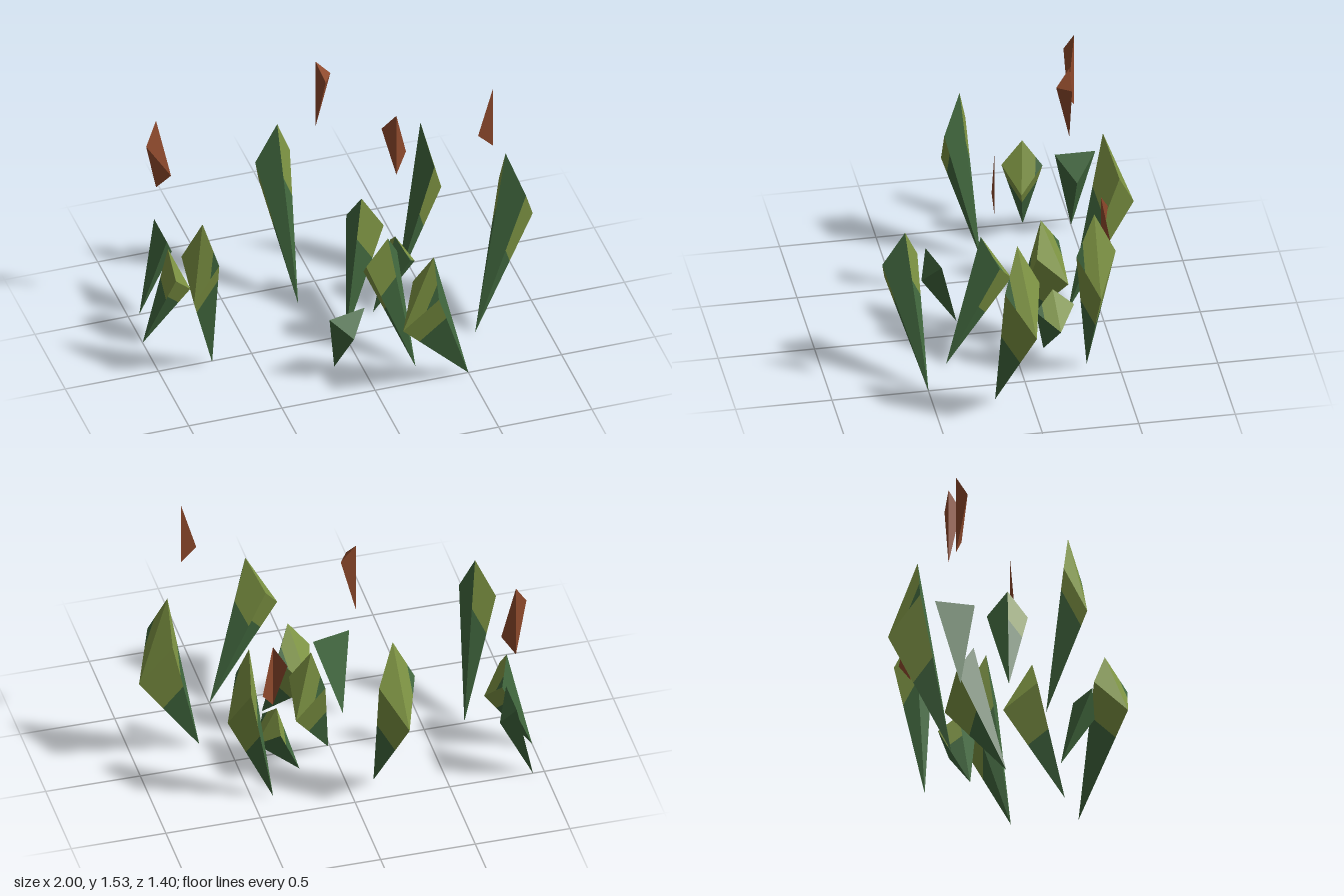
import * as THREE from 'three';

const HALF_WIDTH = 0.105; // every blade has the same shoulder width
const SHARD_RADIUS = 0.08;

function material(name, color, side = THREE.FrontSide) {
  const m = new THREE.MeshStandardMaterial({ color, side });
  m.name = name;
  return m;
}

// Flat-faced mesh from loose triangles; faces turn away from the centre if one is given
function facets(name, tris, mat, centre) {
  const points = [];
  for (const [a, b, c] of tris) {
    const n = b.clone().sub(a).cross(c.clone().sub(a));
    const inward = centre && n.dot(a.clone().sub(centre)) < 0;
    points.push(...(inward ? [a, c, b] : [a, b, c]));
  }
  const geo = new THREE.BufferGeometry().setFromPoints(points);
  geo.computeVertexNormals();
  const mesh = new THREE.Mesh(geo, mat);
  mesh.name = name;
  return mesh;
}

export function createModel() {
  const model = new THREE.Group();
  const green = material('leafGreen', 0x42693f);
  const olive = material('oliveTip', 0x7e9443);
  const rust = material('rustRed', 0x8f4a2c, THREE.DoubleSide);

  // Blade leaning along its own +x: pointed foot, two shoulders, a lower outer corner, apex.
  // greenSide picks the shoulder that stays green; low is the green share of the underside.
  function blade({ name, x, z, yaw, lean, height, greenSide = 1, low = 0.6, stub = false }) {
    const foot = new THREE.Vector3();
    const shoulder = (s) => new THREE.Vector3(0.65 * lean, 0.775 * height, s * HALF_WIDTH);
    const warm = shoulder(-greenSide);
    const cool = shoulder(greenSide);
    const corner = new THREE.Vector3(lean, 0.55 * height, 0);
    const apex = new THREE.Vector3(0.53 * lean, height, 0);
    const greens = [];
    const olives = [];

    // A facet is green from corner a up to the fraction t, olive beyond
    const facet = (a, b, c, t) => {
      const ab = a.clone().lerp(b, t);
      const ac = a.clone().lerp(c, t);
      if (t > 0) greens.push([a, ab, ac]);
      if (t < 1) olives.push([ab, b, c], [ab, c, ac]);
    };
    facet(foot, warm, corner, low);
    facet(foot, corner, cool, low);
    if (stub) {
      facet(foot, warm, cool, 1);
      facet(warm, corner, cool, 1);
    } else {
      facet(foot, warm, apex, 0.7);
      facet(foot, cool, apex, 1);
      facet(warm, corner, apex, 0);
      facet(cool, corner, apex, 0.35);
    }

    const centre = foot.clone().add(warm).add(cool).add(corner).divideScalar(4);
    const group = new THREE.Group();
    group.name = name;
    group.position.set(x, 0, z);
    group.rotation.y = yaw;
    group.add(facets('bladeBody', greens, green, centre));
    if (olives.length) group.add(facets('bladeTip', olives, olive, centre));
    model.add(group);
  }

  // Clustered blades
  blade({ name: 'farLeftBlade', x: 0.64, z: 0.18, yaw: 0.4, lean: 0.39, height: 1.03 });
  blade({ name: 'backLeftBlade', x: 0.39, z: -0.34, yaw: 0.12, lean: 0.25, height: 0.98 });
  blade({ name: 'backBlade', x: -0.14, z: -0.34, yaw: 1.83, lean: 0.37, height: 1.01, greenSide: -1 });
  blade({ name: 'frontBlade', x: 0.5, z: 0.5, yaw: -2.77, lean: 0.43, height: 0.83, greenSide: -1, low: 0.75 });
  blade({ name: 'rightBlade', x: -0.715, z: 0.01, yaw: -2.29, lean: 0.235, height: 0.95, greenSide: -1, low: 0.85 });
  blade({ name: 'smallRightBlade', x: -1, z: -0.26, yaw: -0.2, lean: 0.245, height: 0.58, greenSide: -1, low: 0.75 });
  blade({ name: 'centreBlade', x: 0.01, z: -0.01, yaw: 0.825, lean: 0.355, height: 0.73, greenSide: -1 });
  blade({ name: 'innerBlade', x: 0.26, z: 0.365, yaw: 1.98, lean: 0.4, height: 0.69 });
  blade({ name: 'shortBlade', x: 0.2, z: -0.15, yaw: 0.2, lean: 0.245, height: 0.43, low: 1 });

  // Stubs without an apex
  blade({ name: 'frontStub', x: -0.135, z: 0.24, yaw: -1.34, lean: 0.195, height: 0.53, low: 1, stub: true });
  blade({ name: 'backStub', x: -0.94, z: -0.5, yaw: 0, lean: 0.175, height: 0.65, low: 1, stub: true });

  // Floating shard hanging from its tip; each corner is [heading in degrees, drop below the tip]
  function shard(name, tip, height, corners, closed) {
    const top = new THREE.Vector3();
    const bottom = new THREE.Vector3(0, -height, 0);
    const sides = corners.map(([deg, drop]) => {
      const a = THREE.MathUtils.degToRad(deg);
      return new THREE.Vector3(SHARD_RADIUS * Math.cos(a), -drop, SHARD_RADIUS * Math.sin(a));
    });
    const tris = sides.map((p) => [top, p, bottom]);
    if (closed) tris.push([top, ...sides], [bottom, ...sides]);
    const mesh = facets(name, tris, rust);
    mesh.position.set(...tip);
    model.add(mesh);
  }
  shard('rightShard', [-0.85, 1.2, -0.5], 0.42, [[147, 0.12], [35, 0.33]], true);
  shard('middleShard', [-0.05, 1.51, -0.33], 0.41, [[0, 0.09], [67, 0.09]], true);
  shard('backLeftShard', [0.41, 1.01, -0.41], 0.37, [[217, 0.1], [-34, 0.27]], false);
  shard('leftShard', [0.73, 1.53, 0.2], 0.36, [[180, 0.28]], false);

  return model;
}
